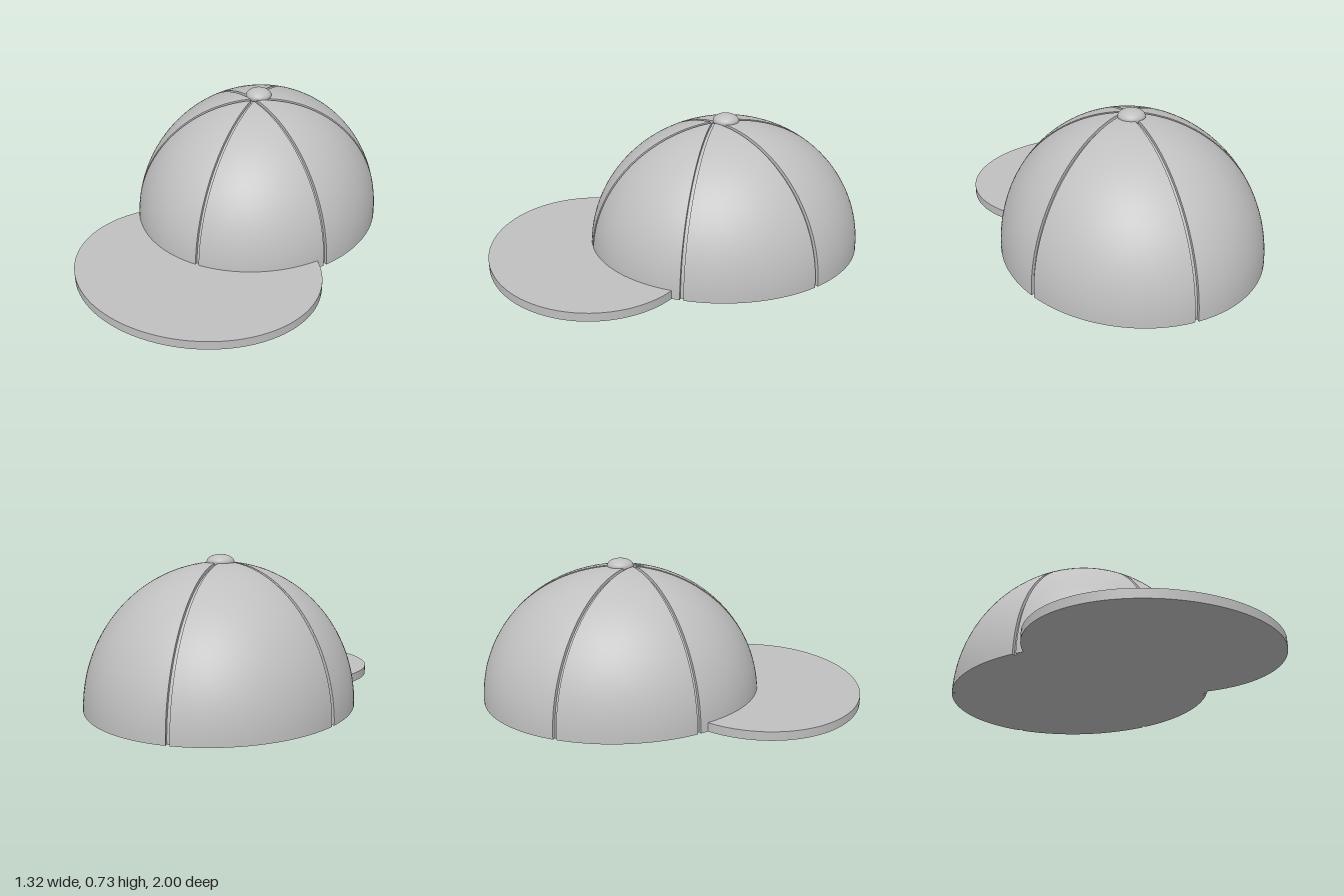
import * as THREE from 'three';
import { mergeGeometries } from 'three/addons/utils/BufferGeometryUtils.js';

const RX = 0.66, RY = 0.69, RZ = 0.73, CZ = -0.27; // crown ellipsoid
const SEAM_Z = -0.2, HALF_GAP = 0.009;             // where the seams meet, half their width

// Surface over a grid of (u, v); it faces along dv x du
function grid(nu, nv, point) {
  const pos = [], index = [];
  for (let j = 0; j <= nv; j++)
    for (let i = 0; i <= nu; i++) pos.push(...point(i / nu, j / nv));
  for (let j = 0; j < nv; j++)
    for (let i = 0; i < nu; i++) {
      const a = j * (nu + 1) + i, b = a + nu + 1;
      index.push(a, b, a + 1, b, b + 1, a + 1);
    }
  const g = new THREE.BufferGeometry();
  g.setAttribute('position', new THREE.Float32BufferAttribute(pos, 3));
  g.setIndex(index);
  g.computeVertexNormals();
  return g;
}

// One wedge of the crown between two seams, with straight upright sides
function panelGeometry(mid) {
  const apex = HALF_GAP / Math.sin(Math.PI / 6);
  const ax = Math.sin(mid) * apex, az = SEAM_Z + Math.cos(mid) * apex;
  const at = (u, v, h) => {
    const a = mid + (u - 0.5) * Math.PI / 3;
    const dx = Math.sin(a) / RX, dz = Math.cos(a) / RZ;
    const ox = ax / RX, oz = (az - CZ) / RZ;
    // distance along the ray to the rim
    const A = dx * dx + dz * dz, B = ox * dx + oz * dz, C = ox * ox + oz * oz - 1;
    const t = Math.sin(v * Math.PI / 2) * (-B + Math.sqrt(B * B - A * C)) / A;
    const r2 = (ox + dx * t) ** 2 + (oz + dz * t) ** 2;
    const y = v === 1 ? 0 : RY * Math.sqrt(Math.max(0, 1 - r2));
    return [ax + Math.sin(a) * t, y * h, az + Math.cos(a) * t];
  };
  return mergeGeometries([
    grid(20, 32, (u, v) => at(u, v, 1)),  // outer surface
    grid(1, 32, (u, v) => at(0, v, u)),   // seam walls
    grid(32, 1, (u, v) => at(1, u, v)),
    grid(1, 20, (u, v) => at(v, u, 0)),   // underside
  ]);
}

export function createModel() {
  const cap = new THREE.Group();
  cap.name = 'cap';
  const grey = new THREE.MeshStandardMaterial({ color: 0xc0c0c0 });
  grey.name = 'grey';
  const add = (name, geometry, x = 0, y = 0, z = 0) => {
    const mesh = new THREE.Mesh(geometry, grey);
    mesh.name = name;
    mesh.position.set(x, y, z);
    cap.add(mesh);
  };

  // Six crown panels
  for (let k = 0; k < 6; k++) add('crownPanel' + (k + 1), panelGeometry((k + 0.5) * Math.PI / 3));

  // Slightly smaller solid core forming the floor of the seams
  const core = mergeGeometries([
    new THREE.SphereGeometry(1, 96, 32, 0, Math.PI * 2, 0, Math.PI / 2),
    new THREE.CircleGeometry(1, 96).rotateX(Math.PI / 2),
  ]).scale(RX - 0.016, RY - 0.016, RZ - 0.016);
  add('crownCore', core, 0, 0, CZ);

  // Flat oval brim
  add('brim', new THREE.CylinderGeometry(1, 1, 0.045, 96).scale(0.635, 1, 0.54), 0, 0.0225, 0.46);

  // Button on top
  add('button', new THREE.SphereGeometry(1, 40, 24).scale(0.068, 0.037, 0.068), 0, 0.69, -0.265);

  return cap;
}
